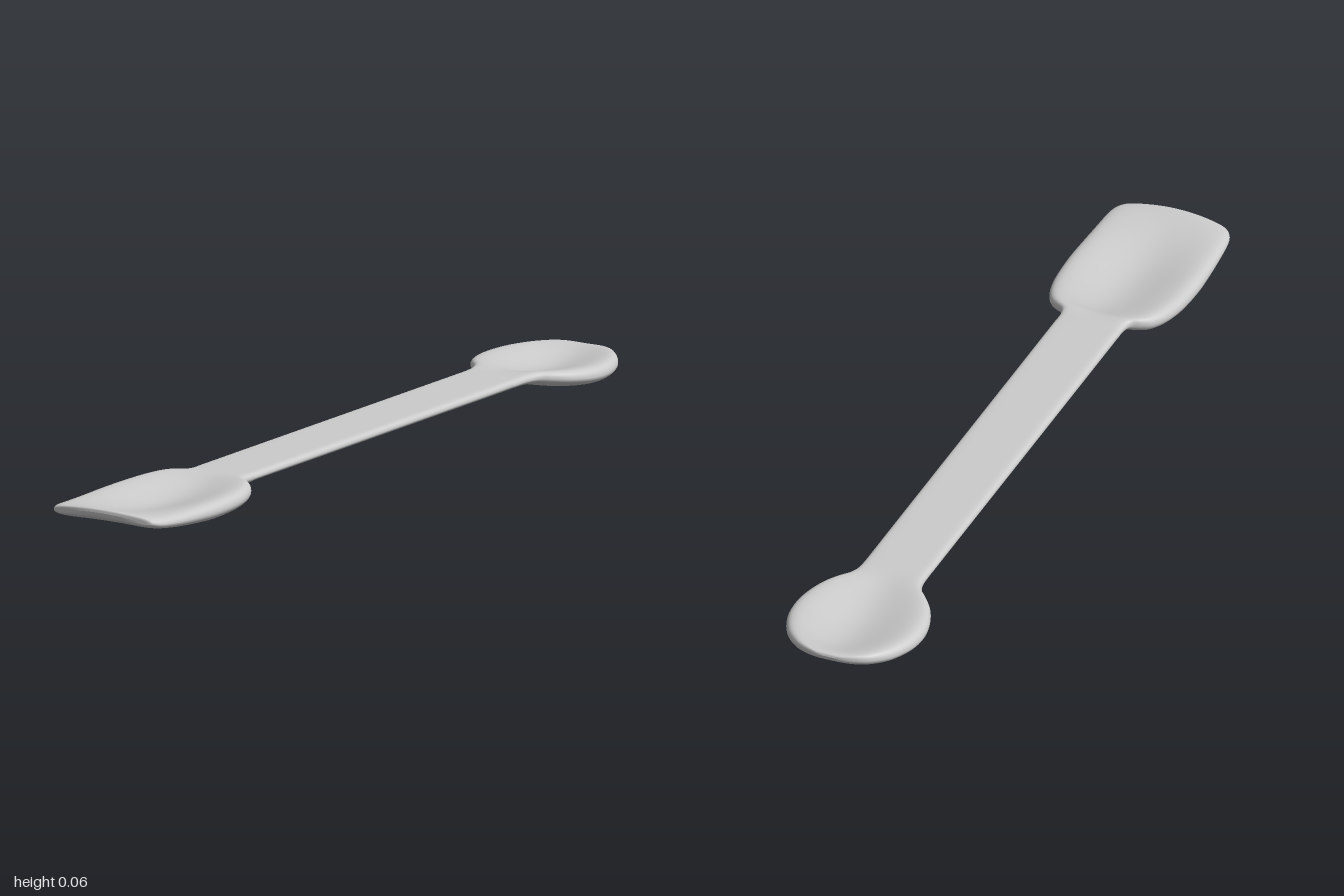
import * as THREE from 'three';

const material = new THREE.MeshStandardMaterial({ color: 0xcccccc });
const SIDE = 28; // points across the top (and the bottom) of each section

// Lofts dished sections along z.
// Station: [z, half width, rim height, dish height, underside height, arch of the section]
function loft(name, stations, steps, boxy) {
  const spline = (pick) => new THREE.CatmullRomCurve3(
    stations.map((s) => new THREE.Vector3(...pick.map((i) => s[i]))), false, 'catmullrom', 0.5);
  const outline = spline([0, 1, 2]);
  const heights = spline([3, 4, 5]);
  const rows = (stations.length - 1) * steps;
  const ring = SIDE * 2;
  const positions = [];
  const index = [];

  for (let r = 0; r <= rows; r++) {
    const { x: z, y: width, z: rim } = outline.getPoint(r / rows);
    const { x: dish, y: under, z: arch } = heights.getPoint(r / rows);
    const edge = rim * 0.55 + under * 0.45;
    for (let k = 0; k < ring; k++) {
      const a = (k / ring) * Math.PI * 2;
      const u = Math.cos(a);
      const m = Math.abs(u);
      let y;
      if (Math.sin(a) >= 0) {
        const top = dish + (rim - dish) * THREE.MathUtils.smoothstep(m, 0, 0.92);
        y = edge + (top - edge) * Math.sqrt(Math.max(0, 1 - m ** 14));
      } else {
        y = edge + (under - edge) * Math.sqrt(Math.max(0, 1 - m ** boxy));
      }
      // an arched section also bows back slightly at its corners
      positions.push(u * width, y - arch * u * u, z - arch * u * u);
    }
  }
  for (let r = 0; r < rows; r++) {
    for (let k = 0; k < ring; k++) {
      const a = r * ring + k;
      const b = r * ring + ((k + 1) % ring);
      index.push(a, b, a + ring, b, b + ring, a + ring);
    }
  }
  const geometry = new THREE.BufferGeometry();
  geometry.setAttribute('position', new THREE.Float32BufferAttribute(positions, 3));
  geometry.setIndex(index);
  geometry.computeVertexNormals();
  const mesh = new THREE.Mesh(geometry, material);
  mesh.name = name;
  return mesh;
}

export function createModel() {
  const group = new THREE.Group();
  group.name = 'doubleEndedSpatula';

  // Round spoon at the back, from tip to neck
  group.add(loft('spoon', [
    [-1.0, 0.015, 0.043, 0.043, 0.043, 0],
    [-0.997, 0.04, 0.049, 0.049, 0.034, 0],
    [-0.985, 0.073, 0.052, 0.05, 0.026, 0],
    [-0.965, 0.101, 0.053, 0.045, 0.018, 0],
    [-0.93, 0.13, 0.053, 0.036, 0.01, 0],
    [-0.88, 0.152, 0.053, 0.029, 0.005, 0],
    [-0.83, 0.16, 0.053, 0.027, 0.003, 0],
    [-0.78, 0.155, 0.054, 0.03, 0.006, 0],
    [-0.73, 0.137, 0.056, 0.038, 0.013, 0],
    [-0.695, 0.112, 0.058, 0.046, 0.02, 0],
    [-0.67, 0.09, 0.058, 0.052, 0.026, 0],
    [-0.64, 0.08, 0.056, 0.054, 0.029, 0],
    [-0.6, 0.078, 0.055, 0.055, 0.03, 0],
    [-0.56, 0.078, 0.055, 0.055, 0.03, 0],
  ], 4, 4));

  // Straight flat handle
  group.add(loft('handle', [
    [-0.56, 0.078, 0.055, 0.055, 0.03, 0],
    [0.48, 0.078, 0.055, 0.055, 0.03, 0],
  ], 8, 4));

  // Square-ended scoop at the front, from neck to upturned lip
  group.add(loft('scoop', [
    [0.48, 0.078, 0.055, 0.055, 0.03, 0],
    [0.51, 0.078, 0.055, 0.055, 0.03, 0],
    [0.535, 0.085, 0.057, 0.054, 0.028, 0],
    [0.55, 0.108, 0.058, 0.051, 0.022, 0],
    [0.57, 0.128, 0.057, 0.045, 0.014, 0],
    [0.61, 0.145, 0.055, 0.036, 0.008, 0],
    [0.67, 0.156, 0.053, 0.029, 0.004, 0],
    [0.75, 0.16, 0.052, 0.027, 0.003, 0],
    [0.82, 0.158, 0.052, 0.032, 0.008, 0.001],
    [0.89, 0.154, 0.054, 0.042, 0.016, 0.003],
    [0.945, 0.15, 0.058, 0.052, 0.026, 0.006],
    [0.975, 0.144, 0.062, 0.06, 0.034, 0.009],
    [0.992, 0.134, 0.064, 0.064, 0.042, 0.011],
    [0.998, 0.125, 0.063, 0.063, 0.047, 0.012],
    [1.0, 0.115, 0.056, 0.056, 0.056, 0.012],
  ], 4, 6));

  return group;
}
